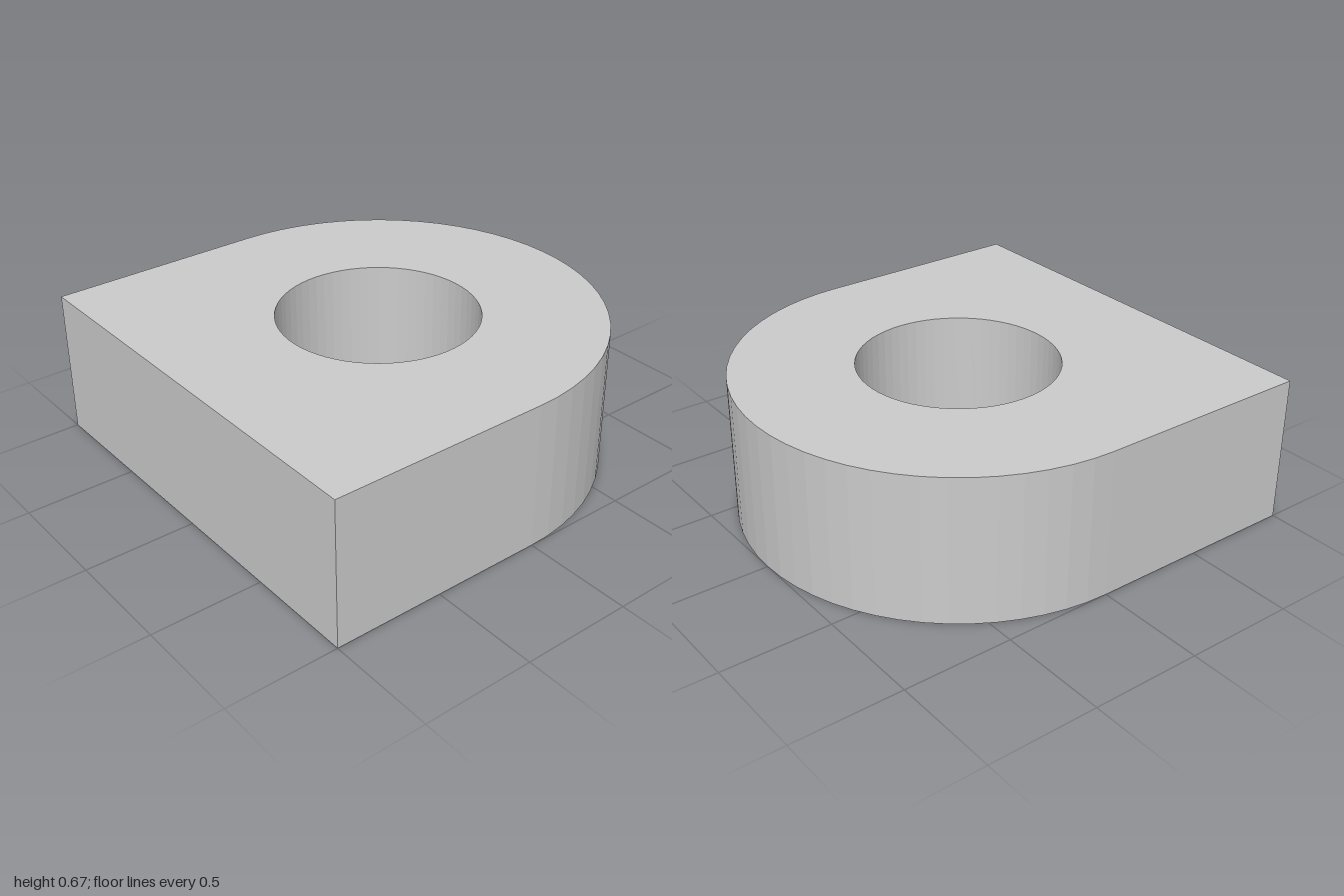
import * as THREE from 'three';

const HEIGHT = 0.67;
const OUTER_RADIUS = 1;
const HOLE_RADIUS = 0.45;

export function createModel() {
  const group = new THREE.Group();
  group.name = 'roundedLug';

  // Outline: square front, half-round back
  const outline = new THREE.Shape();
  outline.moveTo(-OUTER_RADIUS, -1);
  outline.lineTo(OUTER_RADIUS, -1);
  outline.lineTo(OUTER_RADIUS, 0);
  outline.absarc(0, 0, OUTER_RADIUS, 0, Math.PI, false);
  outline.closePath();

  // Round through-hole, as two half circles to match the outer facets
  const hole = new THREE.Path();
  hole.absarc(0, 0, HOLE_RADIUS, 0, -Math.PI, true);
  hole.absarc(0, 0, HOLE_RADIUS, -Math.PI, -2 * Math.PI, true);
  outline.holes.push(hole);

  // Extrude, then lay flat so the round end points to the back
  const geometry = new THREE.ExtrudeGeometry(outline, {
    depth: HEIGHT,
    bevelEnabled: false,
    curveSegments: 16,
  });
  geometry.rotateX(-Math.PI / 2);

  const body = new THREE.Mesh(
    geometry,
    new THREE.MeshStandardMaterial({ color: 0xcccccc, flatShading: true })
  );
  body.name = 'lugBody';
  group.add(body);
  return group;
}
